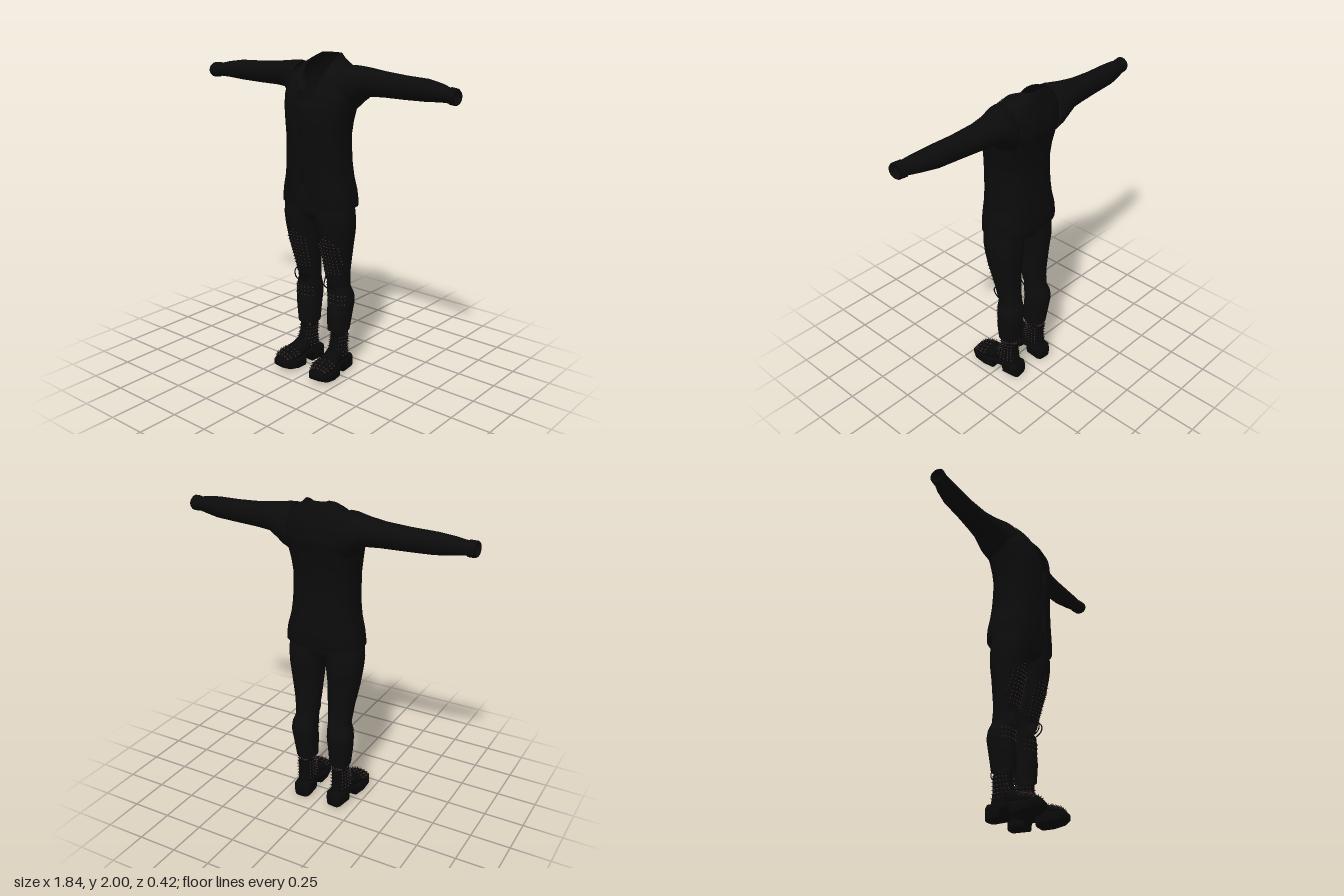
import * as THREE from 'three';
import { mergeGeometries } from 'three/addons/utils/BufferGeometryUtils.js';

const material = (name, color) => new THREE.MeshStandardMaterial({ name, color, side: THREE.DoubleSide });
const V = (x, y, z) => new THREE.Vector3(x, y, z);
const spow = (v, p) => Math.sign(v) * Math.abs(v) ** p;

// Linear lookup in a table whose first column is the key
function row(table, k) {
  let i = 0;
  while (i < table.length - 2 && table[i + 1][0] < k) i++;
  const a = table[i], b = table[i + 1], t = THREE.MathUtils.clamp((k - a[0]) / (b[0] - a[0]), 0, 1);
  return a.map((v, j) => v + (b[j] - v) * t);
}
function keys(table, steps) {
  const a = table[0][0], b = table[table.length - 1][0];
  return Array.from({ length: steps + 1 }, (_, i) => a + (b - a) * i / steps);
}

// Skin over a list of rings; skip(centre) leaves openings
function loft(rings, closed = true, skip = () => false) {
  const n = rings[0].length, pos = [], idx = [];
  rings.forEach(r => r.forEach(p => pos.push(p.x, p.y, p.z)));
  for (let i = 0; i < rings.length - 1; i++) {
    for (let j = 0; j < (closed ? n : n - 1); j++) {
      const k = (j + 1) % n;
      const mid = rings[i][j].clone().add(rings[i + 1][k]).multiplyScalar(0.5);
      if (skip(mid)) continue;
      const a = i * n + j, b = i * n + k;
      idx.push(a, b, b + n, a, b + n, a + n);
    }
  }
  const g = new THREE.BufferGeometry();
  g.setAttribute('position', new THREE.Float32BufferAttribute(pos, 3));
  g.setIndex(idx);
  g.computeVertexNormals();
  return g;
}
const ring = (n, f) => Array.from({ length: n }, (_, j) => f(j / n * Math.PI * 2));

function mirror(geo) {
  const g = geo.clone().scale(-1, 1, 1), ix = g.index.array;
  for (let i = 0; i < ix.length; i += 3) [ix[i], ix[i + 1]] = [ix[i + 1], ix[i]];
  return g;
}

// Small cone pointing along a normal
function stud(p, normal, r = 0.008, h = 0.016) {
  const g = new THREE.ConeGeometry(r, h, 6);
  g.applyQuaternion(new THREE.Quaternion().setFromUnitVectors(V(0, 1, 0), normal.clone().normalize()));
  return g.translate(p.x, p.y, p.z);
}

// Jacket body: y, half width, back z, front z, half gap of the front opening
const TORSO = [
  [1.11, .248, -.185, .14, .06], [1.14, .245, -.19, .143, .05], [1.2, .235, -.19, .145, .038],
  [1.28, .213, -.183, .147, .017], [1.36, .203, -.175, .147, .001], [1.46, .2, -.168, .15, .001],
  [1.54, .2, -.167, .15, .014], [1.62, .21, -.175, .15, .03], [1.7, .225, -.19, .143, .046],
  [1.77, .235, -.207, .125, .058], [1.85, .225, -.203, .08, .073], [1.9, .2, -.192, .042, .08],
  [1.94, .16, -.182, .008, .085], [1.96, .12, -.177, -.01, .085], [1.98, .095, -.17, -.035, .084],
  [2.0, .07, -.16, -.1, .068]];
// Sleeve: x, low y, high y, back z, front z
const SLEEVE = [
  [.17, 1.66, 1.945, -.19, .06], [.21, 1.69, 1.947, -.2, .045], [.25, 1.73, 1.943, -.2, .02],
  [.3, 1.77, 1.937, -.195, -.005], [.4, 1.778, 1.925, -.18, -.025], [.55, 1.78, 1.915, -.16, -.03],
  [.7, 1.785, 1.91, -.15, -.025], [.8, 1.795, 1.895, -.125, -.015], [.89, 1.8, 1.872, -.085, -.005]];
const CUFF = [[.865, 1.8, 1.875, -.095, -.01], [.872, 1.792, 1.885, -.098, -.005],
  [.91, 1.79, 1.882, -.09, .004], [.92, 1.797, 1.873, -.083, 0], [.9, 1.8, 1.868, -.08, -.008]];
// Trouser leg: y, inner x, outer x, back z, front z
const LEG = [
  [.285, .055, .185, -.13, .012], [.4, .05, .2, -.145, .015], [.48, .045, .21, -.155, .005],
  [.53, .045, .205, -.15, .008], [.58, .045, .187, -.13, .008], [.65, .04, .195, -.12, .018],
  [.7, .035, .2, -.12, .03], [.85, .028, .225, -.125, .07], [.95, .018, .238, -.135, .09],
  [1.02, .003, .243, -.135, .1], [1.08, -.01, .24, -.13, .1], [1.16, -.01, .225, -.13, .1]];
// Boot parts along z: z, half width, low y, high y
const SOLE = [[-.152, 0, .05, .05], [-.152, .045, 0, .09], [-.135, .057, 0, .1], [-.045, .06, 0, .1],
  [-.04, .058, .05, .1], [.03, .064, .05, .09], [.035, .07, 0, .09], [.1, .08, .004, .085],
  [.17, .074, .018, .08], [.205, .05, .035, .078], [.208, 0, .055, .055]];
const VAMP = [[-.05, .05, .06, .2], [0, .055, .06, .18], [.04, .062, .06, .15], [.08, .07, .06, .135],
  [.13, .072, .06, .125], [.17, .063, .06, .112], [.193, .045, .06, .095], [.2, 0, .075, .075]];
// Boot shaft along y: y, half width, back z, front z
const SHAFT = [[.08, .054, -.143, .04], [.14, .054, -.128, .035], [.19, .054, -.122, .01],
  [.23, .054, -.122, -.002], [.262, .052, -.125, -.002]];

function torsoPoint([y, w, zb, zf], a, off = 0) {
  return V((w + off) * spow(Math.sin(a), .8), y, (zb + zf) / 2 + ((zf - zb) / 2 + off) * spow(Math.cos(a), .8));
}
const torsoAngle = (w, x) => Math.asin(Math.min(1, x / w) ** 1.25);
const legPoint = ([y, xi, xo, zb, zf], a) =>
  V((xi + xo) / 2 + (xo - xi) / 2 * spow(Math.sin(a), .85), y, (zb + zf) / 2 + (zf - zb) / 2 * spow(Math.cos(a), .85));
const sleeveRing = ([x, y0, y1, z0, z1]) =>
  ring(28, a => V(x, (y0 + y1) / 2 + (y1 - y0) / 2 * Math.cos(a), (z0 + z1) / 2 + (z1 - z0) / 2 * Math.sin(a)));
const bootPoint = ([z, w, y0, y1], a, p) =>
  V(-w * spow(Math.sin(a), p), (y0 + y1) / 2 + (y1 - y0) / 2 * spow(Math.cos(a), p), z);
const shaftPoint = ([y, w, zb, zf], a) => V(w * Math.sin(a), y, (zb + zf) / 2 + (zf - zb) / 2 * Math.cos(a));

function legStuds() {
  const list = [];
  const add = (x, y) => {
    const r = row(LEG, y), c = (r[1] + r[2]) / 2, rx = (r[2] - r[1]) / 2;
    const s = (x - c) / rx;
    if (Math.abs(s) > .92) return;
    const a = Math.asin(spow(s, 1 / .85));
    list.push(stud(legPoint(r, a), V(Math.sin(a), -.15, Math.cos(a))));
  };
  for (let i = 0; i < 7; i++) {
    const x = .058 + i * .0235, top = .945 - Math.abs(x - .13) * 1.0;
    for (let y = .685; y < top; y += .0225) add(x, y);
  }
  for (const y of [.475, .505, .53]) for (const x of [.06, .08, .105, .13, .16, .18, .195]) add(x, y);
  return mergeGeometries(list);
}

function bootStuds() {
  const list = [];
  for (let i = 0; i < 6; i++) {
    const r = row(SHAFT, .125 + i * .024);
    for (const side of [1, -1]) for (let j = 0; j < 6; j++) {
      const a = side * (.65 + j * .33);
      list.push(stud(shaftPoint(r, a), V(Math.sin(a), .1, Math.cos(a)), .008, .026));
    }
  }
  for (const z of [.1, .13, .16, .18]) for (let j = -3; j <= 3; j++) {
    const a = j * .42;
    list.push(stud(bootPoint(row(VAMP, z), a, .9), V(-Math.sin(a), Math.cos(a), .25), .009, .026));
  }
  return mergeGeometries(list);
}

export function createModel() {
  const model = new THREE.Group();
  const black = material('jacket black', 0x0b0b0b), cloth = material('trouser black', 0x0c0c0c);
  const leather = material('boot black', 0x090909), metal = material('dark bronze studs', 0x403032);
  const add = (name, geo, mat, parent = model) => {
    const m = new THREE.Mesh(geo, mat);
    m.name = name;
    parent.add(m);
  };
  const pair = (name, geo, mat) => {
    add(name + 'Left', geo, mat);
    add(name + 'Right', mirror(geo), mat);
  };

  // Open-fronted jacket body with armholes
  const body = keys(TORSO, 60).map(y => {
    const r = row(TORSO, y), a0 = torsoAngle(r[1], r[4]);
    return Array.from({ length: 65 }, (_, j) => torsoPoint(r, a0 + (2 * Math.PI - 2 * a0) * j / 64));
  });
  add('jacketBody', loft(body, false, p => Math.abs(p.x) > .1 && p.y > 1.77 && p.y < 1.9 && p.z > -.13 && p.z < .01), black);

  // Lapels lie just over the chest
  const lapel = Array.from({ length: 26 }, (_, i) => {
    const r = row(TORSO, 1.47 + i * .019), w = Math.max(.004, Math.min((r[0] - 1.46) * .22, .07, (1.975 - r[0]) * .5));
    return Array.from({ length: 6 }, (_, j) => torsoPoint(r, torsoAngle(r[1], r[4] + w * j / 5), .005));
  });
  pair('lapel', loft(lapel, false), black);
  add('jacketButton', new THREE.CylinderGeometry(.009, .009, .006, 16).rotateX(Math.PI / 2).translate(.015, 1.41, .15), black);

  // Sleeves and cuffs
  pair('sleeve', loft(SLEEVE.map(sleeveRing)), black);
  pair('cuff', loft(CUFF.map(sleeveRing)), black);

  // Trouser seat and legs, torn open at the knee
  const seat = [[1.01, .05, -.09, .05], [1.035, .13, -.125, .085], [1.07, .215, -.13, .098],
    [1.12, .232, -.132, .1], [1.24, .19, -.13, .1]];
  add('trouserSeat', loft(seat.map(r => ring(40, a => torsoPoint(r, a)))), cloth);
  const leg = keys(LEG, 56).map(y => ring(36, a => legPoint(row(LEG, y), a)));
  pair('trouserLeg', loft(leg, true, p => p.z > -.025 && Math.abs((p.y - .605) / .035) + Math.abs((p.x - .115) / .09) < 1.2), cloth);
  const threads = [.08, .115, .15].map(x => new THREE.TubeGeometry(new THREE.CatmullRomCurve3(
    [V(x, .67, .015), V(x + .008, .64, .038), V(x, .6, .038), V(x - .006, .565, 0)]), 14, .004, 5));
  pair('kneeThreads', mergeGeometries(threads), cloth);
  pair('trouserStuds', legStuds(), metal);

  // Boots, turned slightly outward
  const place = g => g.rotateY(.1).translate(.13, 0, 0);
  const alongZ = (t, p) => loft(t.map(r => ring(32, a => bootPoint(r, a, p))));
  pair('bootSole', place(alongZ(SOLE, .45)), leather);
  pair('bootVamp', place(alongZ(VAMP, .9)), leather);
  pair('bootShaft', place(loft(SHAFT.map(r => ring(32, a => shaftPoint(r, a))))), leather);
  const tongue = [[.2, .04, -.01], [.25, .036, -.006], [.275, .026, .002], [.288, .012, .004]].map(([y, w, z]) =>
    Array.from({ length: 7 }, (_, j) => V(w * (j / 3 - 1), y, z - .02 * (j / 3 - 1) ** 2)));
  pair('bootTongue', place(loft(tongue, false)), leather);
  const loop = new THREE.TorusGeometry(.02, .004, 6, 18).scale(.65, 1.3, 1).rotateY(Math.PI / 2).translate(0, .282, -.135);
  pair('bootPullLoop', place(loop), leather);
  pair('bootStuds', place(bootStuds()), metal);
  return model;
}
